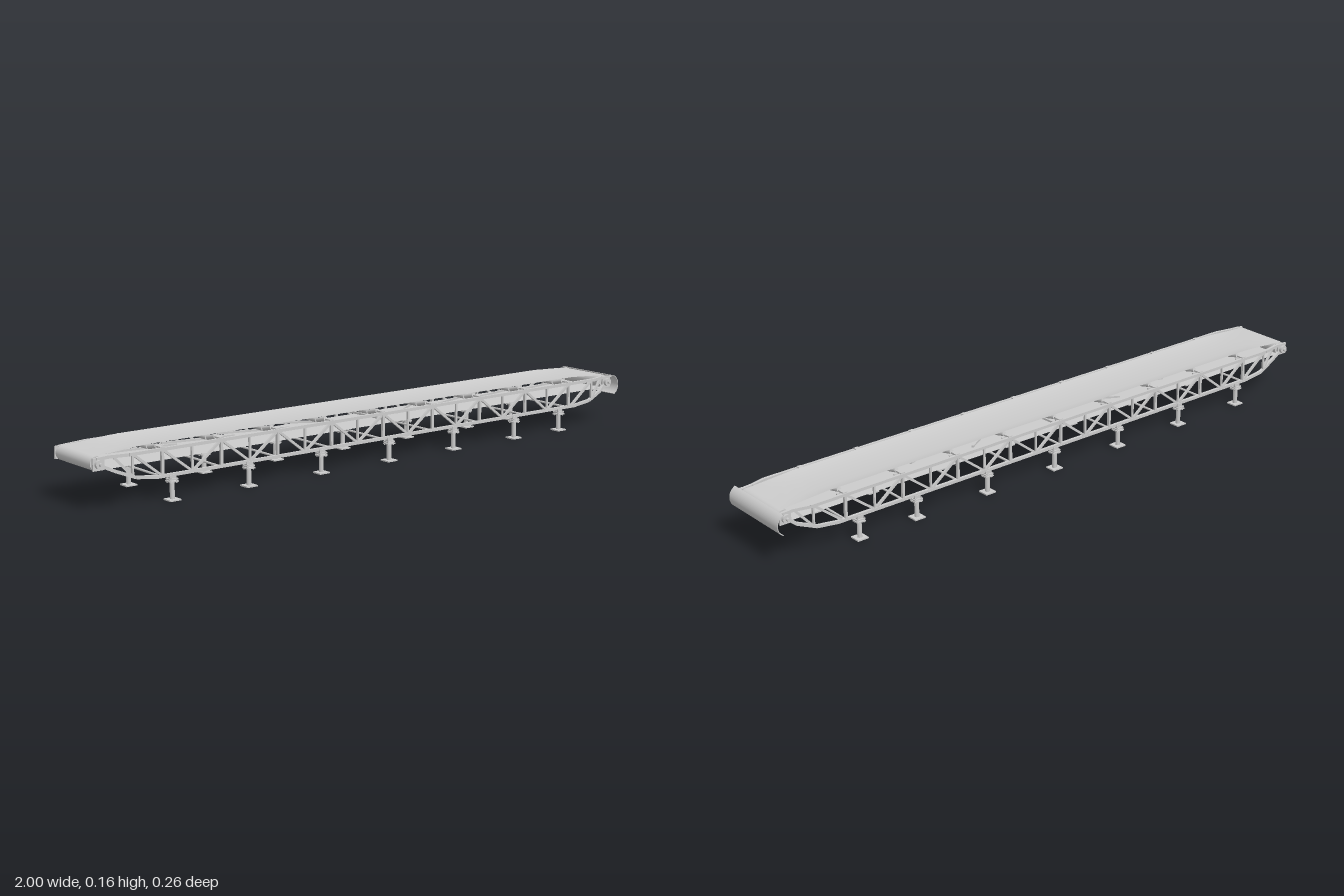
import * as THREE from 'three';

const material = new THREE.MeshStandardMaterial({ color: 0xcccccc });
const sheet = new THREE.MeshStandardMaterial({ color: 0xcccccc, side: THREE.DoubleSide });

const V = (x, y, z) => new THREE.Vector3(x, y, z);

function add(parent, name, geometry, x = 0, y = 0, z = 0, mat = material) {
  const mesh = new THREE.Mesh(geometry, mat);
  mesh.name = name;
  mesh.position.set(x, y, z);
  parent.add(mesh);
  return mesh;
}

const box = (parent, name, w, h, d, x, y, z) => add(parent, name, new THREE.BoxGeometry(w, h, d), x, y, z);

// Square bar between two points
function beam(parent, name, a, b, w = 0.008) {
  const mesh = box(parent, name, w, w, a.distanceTo(b), 0, 0, 0);
  mesh.position.copy(a).add(b).multiplyScalar(0.5);
  mesh.lookAt(b);
  return mesh;
}

// Round bar between two points
function rod(parent, name, a, b, r, sides = 16) {
  const mesh = add(parent, name, new THREE.CylinderGeometry(r, r, a.distanceTo(b), sides));
  mesh.position.copy(a).add(b).multiplyScalar(0.5);
  mesh.quaternion.setFromUnitVectors(V(0, 1, 0), b.clone().sub(a).normalize());
  return mesh;
}

function chain(parent, name, points, w) {
  for (let i = 1; i < points.length; i++) beam(parent, name, points[i - 1], points[i], w);
}

const BAY = 0.195, X0 = -0.005;
const idlerX = Array.from({ length: 9 }, (_, i) => X0 + (i - 4) * BAY);
const legX = [-0.755, -0.497, -0.238, 0.019, 0.277, 0.534, 0.732];
const TOP = 0.147, BOTTOM = 0.072, SIDE = 0.112;
const TAIL = -0.979, HEAD = 0.962, AXLE = 0.131, R = 0.021;

// Closed belt: flat around the pulleys, troughed along the carrying run
function buildBelt(group) {
  const path = [];
  const run = 40, turn = 14;
  for (let i = 0; i <= run; i++) path.push([TAIL + (HEAD - TAIL) * i / run, AXLE + R, true]);
  for (let i = 1; i <= turn; i++) {
    const a = Math.PI * i / turn;
    path.push([HEAD + R * Math.sin(a), AXLE + R * Math.cos(a), false]);
  }
  for (let i = 0; i <= turn; i++) {
    const a = Math.PI * i / turn;
    path.push([TAIL - R * Math.sin(a), AXLE - R * Math.cos(a), false]);
  }
  const across = [-0.087, -0.045, 0.045, 0.087];
  const geometry = new THREE.PlaneGeometry(1, 1, 3, path.length - 1);
  const p = geometry.attributes.position;
  for (let i = 0; i < p.count; i++) {
    const [x, y, carrying] = path[Math.floor(i / 4)];
    const z = across[i % 4];
    const trough = THREE.MathUtils.clamp((0.95 - Math.abs(x)) / 0.13, 0, 1);
    const lift = carrying ? trough * 0.009 * (Math.abs(z) > 0.05 ? 1 : 0) : 0;
    p.setXYZ(i, x, y + lift, z);
  }
  geometry.computeVertexNormals();
  add(group, 'belt', geometry, 0, 0, 0, sheet);
}

// One lattice side girder; s is the sign of z
function buildGirder(group, s) {
  const girder = new THREE.Group();
  girder.name = s > 0 ? 'frontGirder' : 'backGirder';
  group.add(girder);
  const z = s * SIDE, end = s * 0.1;
  chain(girder, 'topChord', [
    V(-0.985, TOP - 0.002, end), V(-0.95, TOP, end), V(-0.89, TOP, z),
    V(0.89, TOP, z), V(0.94, TOP, end), V(0.97, TOP - 0.002, end)], 0.009);
  chain(girder, 'bottomChord', [
    V(-0.965, 0.122, end), V(-0.93, 0.105, s * 0.104), V(-0.87, 0.081, z), V(-0.8, BOTTOM, z),
    V(0.8, BOTTOM, z), V(0.87, 0.081, z), V(0.93, 0.105, s * 0.104), V(0.95, 0.122, end)], 0.009);

  // Web of posts and diagonals
  idlerX.forEach((x, i) => {
    beam(girder, 'post', V(x, BOTTOM, z), V(x, TOP, z), 0.008);
    if (i === 8) return;
    const mid = x + BAY / 2;
    beam(girder, 'middlePost', V(mid, BOTTOM, z), V(mid, TOP, z), 0.006);
    beam(girder, 'diagonal', V(x, TOP, z), V(mid, BOTTOM, z), 0.007);
    beam(girder, 'diagonal', V(mid, BOTTOM, z), V(x + BAY, TOP, z), 0.007);
  });
  for (const e of [-1, 1]) {
    beam(girder, 'endPost', V(e * 0.88, 0.084, z), V(e * 0.88, TOP, z), 0.006);
    beam(girder, 'endDiagonal', V(e * 0.785, BOTTOM, z), V(e * 0.88, TOP, z), 0.007);
    beam(girder, 'endDiagonal', V(e * 0.88, 0.084, z), V(e * 0.935, TOP, end), 0.007);
  }

  // Pulley bearings
  for (const x of [TAIL, HEAD]) {
    box(girder, 'bearingPlate', 0.036, 0.036, 0.006, x, AXLE, s * 0.099);
    rod(girder, 'bearing', V(x, AXLE, s * 0.1), V(x, AXLE, s * 0.111), 0.013, 20);
    rod(girder, 'axleEnd', V(x, AXLE, s * 0.1), V(x, AXLE, s * 0.119), 0.005);
  }
}

// Post with foot plate and chord clamp
function buildLeg(group, x, s) {
  const leg = new THREE.Group();
  leg.name = 'leg';
  leg.position.set(x, 0, s * SIDE);
  group.add(leg);
  box(leg, 'footPlate', 0.036, 0.004, 0.035, 0, 0.002, 0);
  rod(leg, 'legPost', V(0, 0.003, 0), V(0, 0.053, 0), 0.007);
  box(leg, 'clampPlate', 0.028, 0.004, 0.025, 0, 0.054, 0);
  box(leg, 'clampPlate', 0.028, 0.004, 0.022, 0, 0.06, 0);
  box(leg, 'saddle', 0.02, 0.012, 0.013, 0, 0.066, 0);
  for (const bx of [-0.01, 0.01]) for (const bz of [-0.009, 0.009])
    rod(leg, 'bolt', V(bx, 0.049, bz), V(bx, 0.065, bz), 0.002, 6);
}

// Troughing idler with three rollers, wing brackets and return roller
function buildIdler(group, x) {
  const idler = new THREE.Group();
  idler.name = 'idler';
  idler.position.x = x;
  group.add(idler);
  rod(idler, 'centreRoller', V(0, 0.143, -0.043), V(0, 0.143, 0.043), 0.008);
  beam(idler, 'idlerBar', V(0, 0.13, -SIDE), V(0, 0.13, SIDE), 0.006);
  rod(idler, 'crossTie', V(0, 0.07, -SIDE), V(0, 0.07, SIDE), 0.0035, 10);
  for (const s of [-1, 1]) {
    rod(idler, 'wingRoller', V(0, 0.143, s * 0.047), V(0, 0.152, s * 0.085), 0.007);
    beam(idler, 'wingBracket', V(0, 0.13, s * 0.091), V(0, 0.157, s * 0.091), 0.005);
    box(idler, 'idlerFoot', 0.014, 0.005, 0.024, 0, TOP + 0.005, s * 0.102);
  }
}

export function createModel() {
  const group = new THREE.Group();
  group.name = 'beltConveyor';

  buildBelt(group);
  for (const s of [-1, 1]) {
    buildGirder(group, s);
    for (const x of legX) buildLeg(group, x, s);
  }
  for (const x of idlerX) buildIdler(group, x);

  // End pulleys
  for (const [name, x] of [['tailPulley', TAIL], ['headPulley', HEAD]])
    rod(group, name, V(x, AXLE, -0.09), V(x, AXLE, 0.09), R - 0.001, 24);

  // Curved discharge hood
  const from = THREE.MathUtils.degToRad(-62), to = THREE.MathUtils.degToRad(65);
  const shape = new THREE.Shape();
  shape.absarc(0, 0, 0.035, from, to, false);
  shape.absarc(0, 0, 0.033, to, from, true);
  const hood = new THREE.ExtrudeGeometry(shape, { depth: 0.24, bevelEnabled: false, curveSegments: 20 });
  add(group, 'dischargeHood', hood, 0.965, 0.121, -0.12);
  for (const s of [-1, 1])
    beam(group, 'hoodBracket', V(0.95, TOP, s * 0.102), V(0.983, 0.148, s * 0.102), 0.005);

  return group;
}
